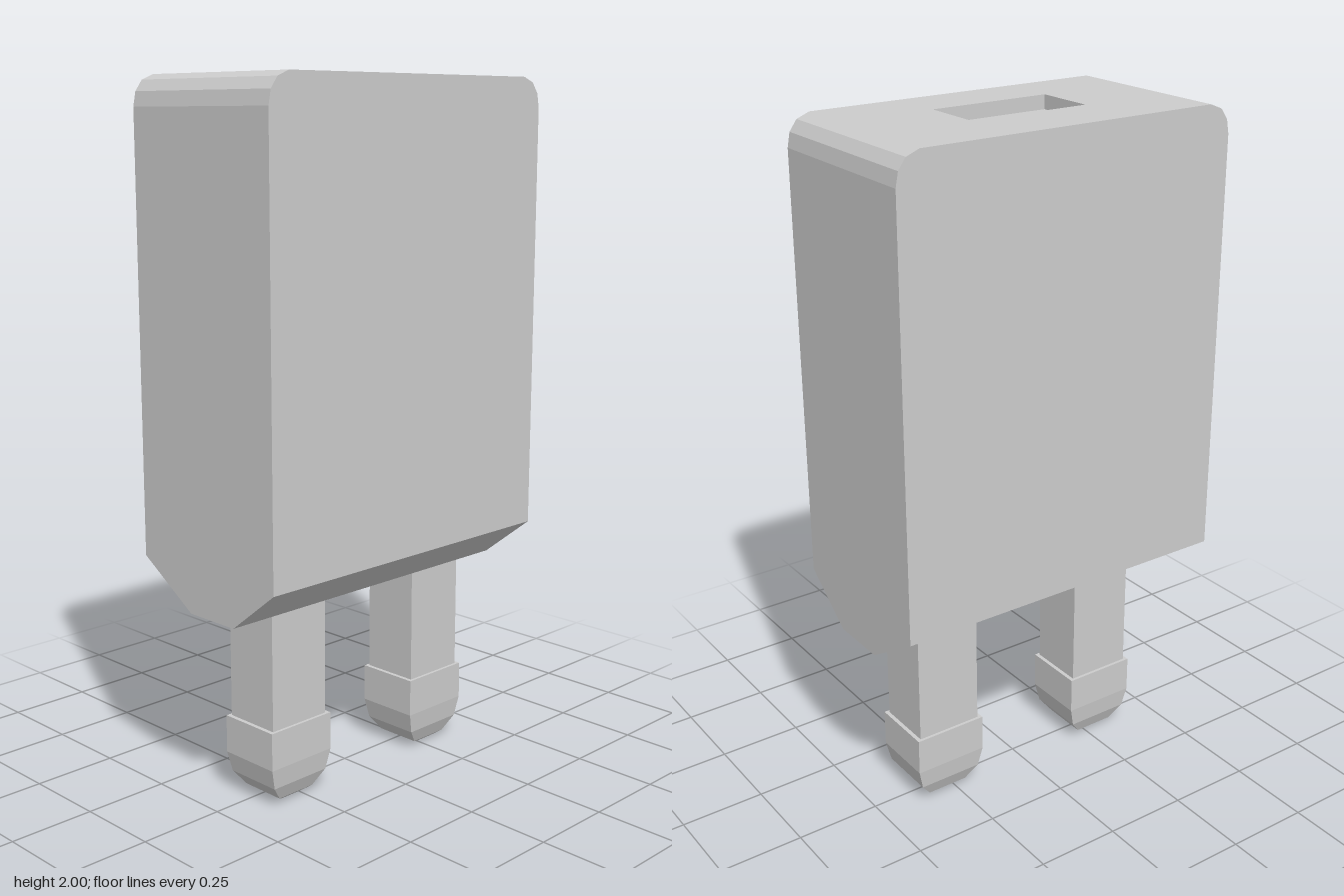
import * as THREE from 'three';

const material = new THREE.MeshStandardMaterial({ color: 0xcccccc, flatShading: true });

// Joins stacked rectangles [y, halfWidth, zBack, zFront] into a closed solid, bottom to top.
function loft(name, sections) {
  const rings = sections.map(([y, w, z0, z1]) => [[w, y, z1], [w, y, z0], [-w, y, z0], [-w, y, z1]]);
  const points = [];
  const quad = (a, b, c, d) => points.push(...a, ...b, ...c, ...a, ...c, ...d);
  for (let r = 0; r < rings.length - 1; r++) {
    const low = rings[r], high = rings[r + 1];
    for (let i = 0; i < 4; i++) {
      const j = (i + 1) % 4;
      quad(low[i], low[j], high[j], high[i]);
    }
  }
  const first = rings[0], last = rings[rings.length - 1];
  quad(first[3], first[2], first[1], first[0]);
  quad(...last);
  const geometry = new THREE.BufferGeometry();
  geometry.setAttribute('position', new THREE.Float32BufferAttribute(points, 3));
  geometry.computeVertexNormals();
  const mesh = new THREE.Mesh(geometry, material);
  mesh.name = name;
  return mesh;
}

export function createModel() {
  const model = new THREE.Group();
  model.name = 'powerAdapter';

  // Housing: chamfered foot, rounded shoulders, and the socket recess sunk into the top
  const depth = 0.265;
  model.add(loft('housing', [
    [0.565, 0.52, -0.07, 0.105],
    [0.69, 0.52, -depth, depth],
    [1.915, 0.52, -depth, depth],
    [1.955, 0.512, -depth, depth],
    [1.985, 0.49, -depth, depth],
    [2, 0.452, -depth, depth],
    [2, 0.18, -0.077, 0.102],
    [1.96, 0.18, -0.077, 0.102],
  ]));

  // Two prongs, each a square shaft with a wider rounded tip
  for (const side of [1, -1]) {
    const prong = new THREE.Group();
    prong.name = side > 0 ? 'leftProng' : 'rightProng';
    prong.position.set(side * 0.28, 0, 0.015);
    prong.add(
      loft('shaft', [[0.2, 0.1, -0.087, 0.087], [0.57, 0.1, -0.087, 0.087]]),
      loft('tip', [
        [0, 0.035, -0.05, 0.05],
        [0.015, 0.063, -0.07, 0.07],
        [0.06, 0.098, -0.089, 0.089],
        [0.12, 0.112, -0.096, 0.096],
        [0.23, 0.112, -0.096, 0.096],
      ]),
    );
    model.add(prong);
  }
  return model;
}
